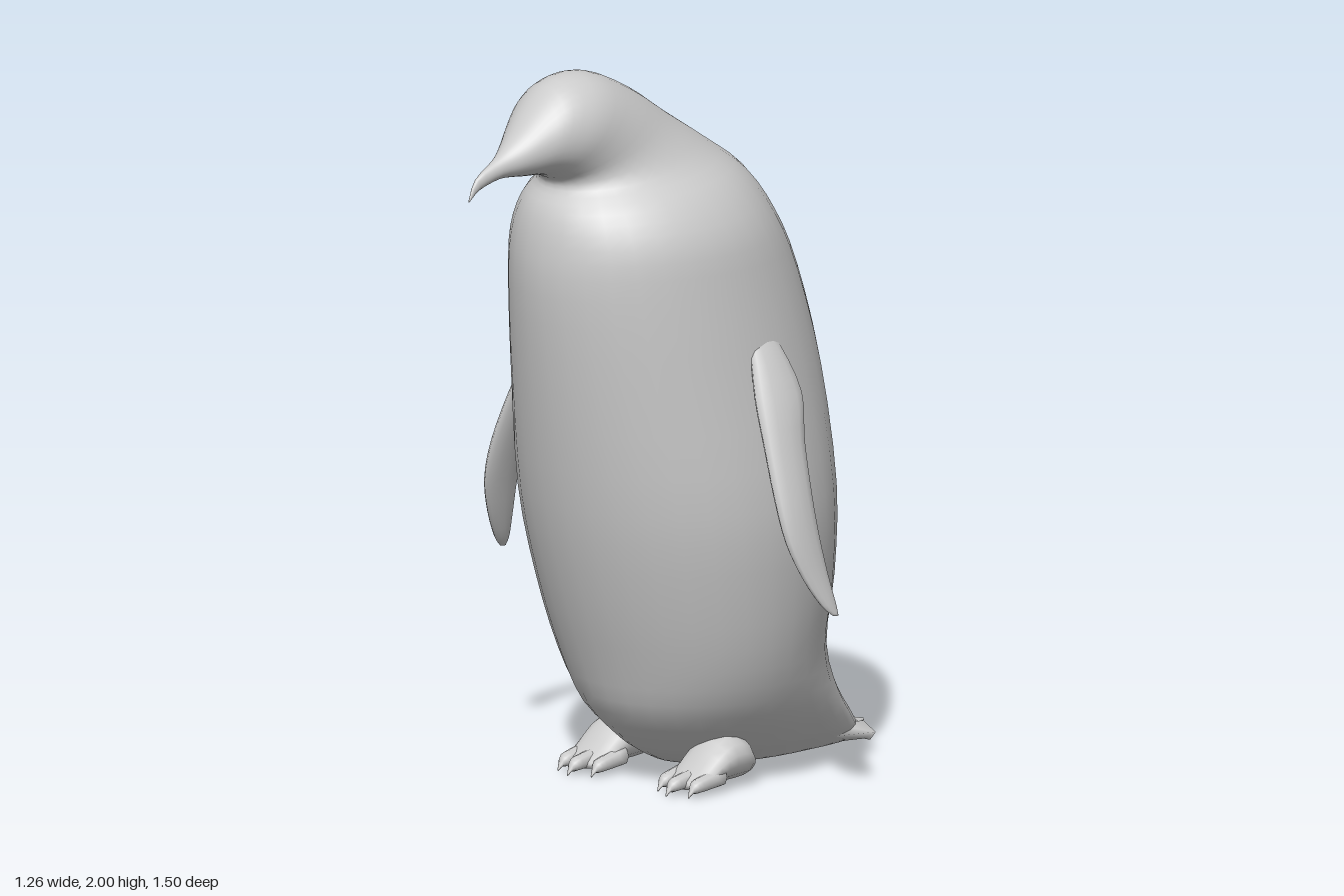
import * as THREE from 'three';

const grey = new THREE.MeshStandardMaterial({ color: 0xcccccc });

// Smooth in-between rows (Catmull-Rom on every column).
function refine(rows, steps) {
  const out = [];
  const last = rows.length - 1;
  for (let i = 0; i < last; i++) {
    const [a, b, c, d] = [rows[Math.max(i - 1, 0)], rows[i], rows[i + 1], rows[Math.min(i + 2, last)]];
    for (let s = 0; s < steps; s++) {
      const t = s / steps;
      out.push(b.map((p, k) => p + 0.5 * t * (c[k] - a[k]
        + t * (2 * a[k] - 5 * p + 4 * c[k] - d[k] + t * (3 * (p - c[k]) + d[k] - a[k])))));
    }
  }
  out.push(rows[last]);
  return out;
}

// Closed skin over oval sections. Each row: one edge (z, y), the opposite edge (z, y),
// half width in x, centre x, and squareness of the second half (2 = oval).
function loft(name, rows, segs, steps) {
  const rings = refine(rows, steps);
  const pos = [], index = [];
  for (const [z1, y1, z2, y2, w, cx, n = 2] of rings) {
    for (let j = 0; j < segs; j++) {
      const t = (j / segs) * Math.PI * 2;
      let c = Math.cos(t), s = Math.sin(t);
      if (c < 0) {
        c = -Math.pow(-c, 2 / n);
        s = Math.sign(s) * Math.pow(Math.abs(s), 2 / n);
      }
      pos.push(cx + w * s, (y1 + y2) / 2 + c * (y1 - y2) / 2, (z1 + z2) / 2 + c * (z1 - z2) / 2);
    }
  }
  for (let i = 0; i < rings.length - 1; i++) {
    for (let j = 0; j < segs; j++) {
      const a = i * segs + j, b = i * segs + (j + 1) % segs;
      index.push(a, b, b + segs, a, b + segs, a + segs);
    }
  }
  // end caps
  for (const end of [0, rings.length - 1]) {
    const r = rings[end], centre = pos.length / 3;
    pos.push(r[5], (r[1] + r[3]) / 2, (r[0] + r[2]) / 2);
    for (let j = 0; j < segs; j++) {
      const a = end * segs + j, b = end * segs + (j + 1) % segs;
      if (end === 0) index.push(centre, b, a);
      else index.push(centre, a, b);
    }
  }
  const geo = new THREE.BufferGeometry();
  geo.setAttribute('position', new THREE.Float32BufferAttribute(pos, 3));
  geo.setIndex(index);
  geo.computeVertexNormals();
  const mesh = new THREE.Mesh(geo, grey);
  mesh.name = name;
  return mesh;
}

export function createModel() {
  const model = new THREE.Group();
  model.name = 'penguin';

  // Torso, neck, head and beak as one skin, from the underside to the beak tip:
  // front or lower edge, back or upper edge, half width
  const bodyRows = [
    [0.02, 0.04, -0.61, 0.035, 0.18],
    [0.07, 0.065, -0.61, 0.07, 0.21],
    [0.12, 0.1, -0.575, 0.11, 0.245],
    [0.215, 0.2, -0.505, 0.2, 0.315],
    [0.27, 0.34, -0.445, 0.35, 0.37],
    [0.34, 0.55, -0.46, 0.55, 0.41],
    [0.405, 0.8, -0.465, 0.8, 0.428],
    [0.462, 1.13, -0.435, 1.13, 0.392],
    [0.495, 1.4, -0.365, 1.4, 0.355],
    [0.49, 1.54, -0.29, 1.56, 0.33],
    [0.465, 1.63, -0.21, 1.68, 0.275],
    [0.425, 1.685, -0.1, 1.765, 0.205],
    [0.43, 1.712, 0.03, 1.85, 0.17],
    [0.455, 1.725, 0.16, 1.935, 0.155],
    [0.48, 1.735, 0.3, 1.995, 0.142],
    [0.515, 1.74, 0.42, 1.988, 0.115],
    [0.55, 1.742, 0.5, 1.93, 0.085],
    [0.59, 1.746, 0.57, 1.86, 0.054],
    [0.64, 1.747, 0.635, 1.808, 0.026],
    [0.71, 1.728, 0.72, 1.76, 0.01],
    [0.748, 1.7, 0.75, 1.702, 0.002],
  ];
  // The head sits slightly to one side; the back grows squarer toward the tail
  model.add(loft('body', bodyRows.map((r, i) => [
    ...r,
    -0.005 - 0.032 * THREE.MathUtils.smoothstep(i, 8, 13),
    2 + 2 * Math.max(0, 1 - r[3] / 0.25),
  ]), 32, 3));

  // Pointed tail feathers: tip x, tip z, tip y
  const feathers = [
    [-0.195, -0.65, 0.035], [-0.155, -0.75, 0.02], [-0.05, -0.73, 0.065],
    [0.06, -0.69, 0.05], [0.14, -0.64, 0.04], [0.18, -0.59, 0.03],
  ];
  const tail = new THREE.Group();
  tail.name = 'tail';
  for (const [x, z, y] of feathers) {
    tail.add(loft('tailFeather', [
      [-0.45, 0.09, -0.45, 0.035, 0.05, x * 0.8],
      [-0.58, 0.08, -0.58, 0.03, 0.045, x * 0.92],
      [z, y + 0.003, z, y - 0.003, 0.002, x],
    ], 4, 1));
  }
  model.add(tail);

  for (const side of [1, -1]) {
    const label = side > 0 ? 'left' : 'right';

    // Flipper, from the tip up to the shoulder inside the torso:
    // height, front z, back z, half thickness, centre x
    const flipperRows = [
      [0.538, 0.015, -0.003, 0.006, 0.625],
      [0.57, 0.05, -0.005, 0.012, 0.613],
      [0.65, 0.1, 0.003, 0.017, 0.591],
      [0.75, 0.138, 0.01, 0.022, 0.566],
      [0.86, 0.145, 0.006, 0.026, 0.533],
      [1, 0.132, -0.02, 0.028, 0.48],
      [1.12, 0.11, -0.065, 0.032, 0.425],
      [1.24, 0.065, -0.05, 0.022, 0.36],
      [1.31, 0.05, -0.03, 0.015, 0.3],
    ];
    model.add(loft(label + 'Flipper',
      flipperRows.map(([y, front, back, w, x]) => [front, y, back, y, w, x * side]), 12, 3));

    // Foot with three clawed toes; rows run forward: z, underside, top, half width
    const foot = new THREE.Group();
    foot.name = label + 'Foot';
    const ankleRows = [
      [-0.1, 0.03, 0.07, 0.03],
      [-0.055, 0.018, 0.13, 0.07],
      [0.015, 0.015, 0.145, 0.08],
      [0.075, 0.015, 0.105, 0.077],
      [0.12, 0.012, 0.06, 0.07],
      [0.155, 0.012, 0.035, 0.05],
    ];
    foot.add(loft('ankle',
      ankleRows.map(([z, low, high, w]) => [z, low, z, high, w, 0.19 * side]), 14, 2));
    for (const [offset, reach] of [[-0.06, 0.18], [0, 0.21], [0.06, 0.185]]) {
      const x = (0.185 + offset) * side;
      const toeRows = [
        [0.06, 0.015, 0.07, 0.025],
        [reach - 0.06, 0.01, 0.055, 0.024],
        [reach - 0.025, 0.008, 0.045, 0.02],
        [reach - 0.012, 0.01, 0.03, 0.01],
        [reach, 0, 0.006, 0.003],
      ];
      foot.add(loft('toe', toeRows.map(([z, low, high, w]) => [z, low, z, high, w, x]), 8, 2));
    }
    model.add(foot);
  }
  return model;
}
